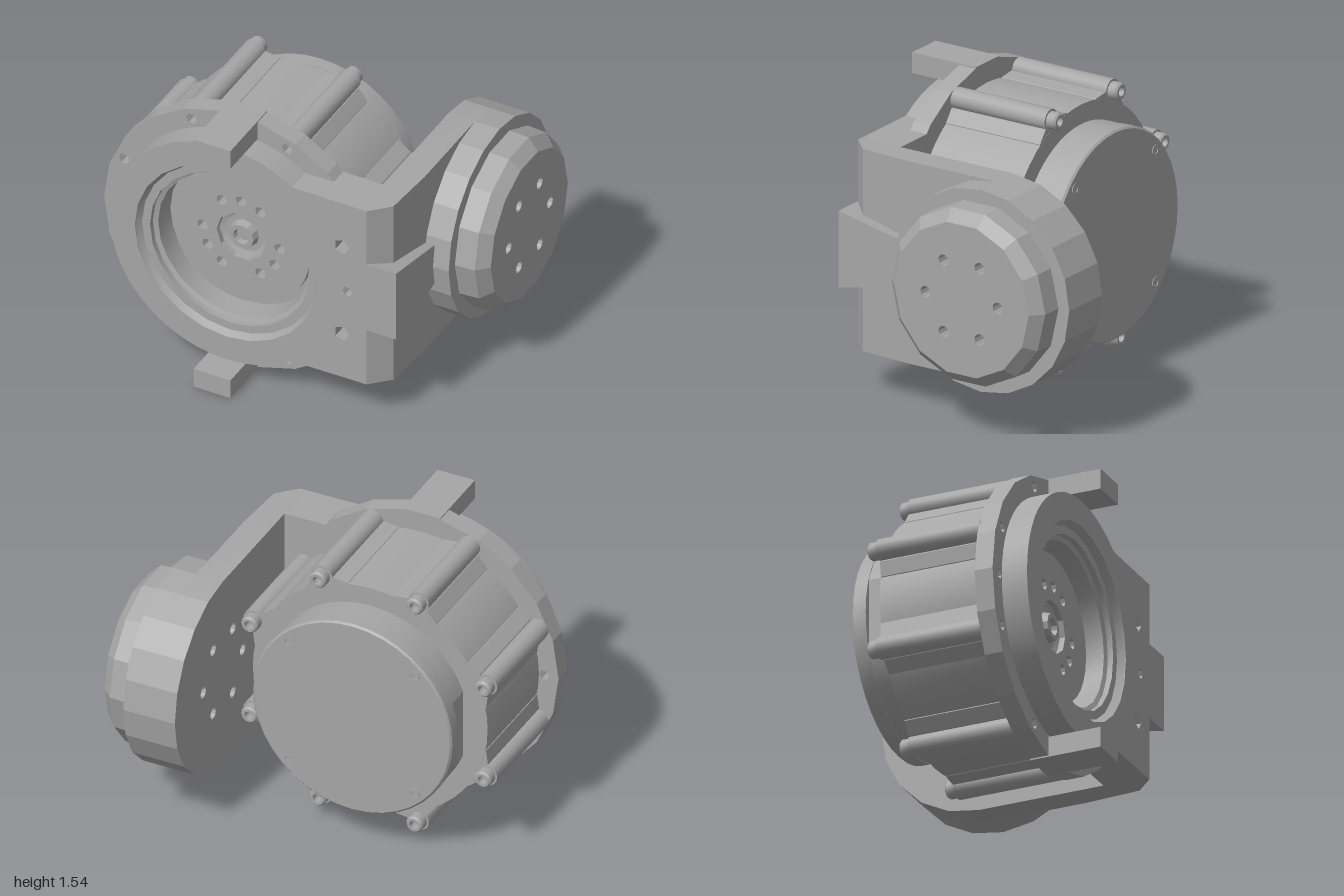
import * as THREE from 'three';
import { toCreasedNormals } from 'three/addons/utils/BufferGeometryUtils.js';

const CX = -0.23, CY = 0.77;      // main motor axis (along z)
const DU = 0.27;                  // side joint axis offset (u = -z)

export function createModel() {
  const model = new THREE.Group();
  const grey = new THREE.MeshStandardMaterial({ color: 0xa6a6a6 });
  grey.name = 'machine grey';

  const add = (name, geo, crease = 0.5, parent = model) => {
    const mesh = new THREE.Mesh(toCreasedNormals(geo, crease), grey);
    mesh.name = name;
    parent.add(mesh);
    return mesh;
  };
  const V = (a) => a.map(([x, y]) => new THREE.Vector2(x, y));
  // regular outline made of n straight sides
  const ring = (x, y, r, n, start = 0) => V(Array.from({ length: n }, (_, i) => {
    const t = start + i / n * Math.PI * 2;
    return [x + r * Math.cos(t), y + r * Math.sin(t)];
  }));
  const drill = (shape, x, y, r, n = 8) => {
    shape.holes.push(new THREE.Path(ring(x, y, r, n)));
    return shape;
  };
  const slab = (shape, z0, z1) => new THREE.ExtrudeGeometry(shape,
    { depth: z1 - z0, bevelEnabled: false, curveSegments: 20 }).translate(0, 0, z0);
  const sideSlab = (shape, x0, x1) => slab(shape, x0, x1).rotateY(Math.PI / 2);
  // turned part about the z direction, profile = [radius, z]
  const turned = (profile, n, x = CX, y = CY) =>
    new THREE.LatheGeometry(V(profile), n).rotateX(Math.PI / 2).translate(x, y, 0);

  // eight fastener positions around the main axis
  const bolts = Array.from({ length: 8 }, (_, i) => {
    const a = Math.PI / 8 + i * Math.PI / 4;
    return { a, x: CX + 0.71 * Math.cos(a), y: CY + 0.71 * Math.sin(a) };
  });

  // mounting flange
  const flange = drill(new THREE.Shape(ring(CX, CY, 0.77, 22)), CX, CY, 0.52, 24);
  bolts.forEach((b) => drill(flange, b.x, b.y, 0.03, 6));
  drill(flange, CX - 0.69, CY, 0.028, 6);
  drill(flange, CX + 0.69, CY, 0.028, 6);
  add('flange', slab(flange, 0.42, 0.52), 0.2);

  // collar merged with the arm that reaches to the side joint
  const arc = 0.965;
  const collar = new THREE.Shape();
  collar.moveTo(0.53, 0.23);
  collar.lineTo(0.53, 1.31);
  collar.absarc(CX, CY, 0.66, arc, Math.PI * 2 - arc, false);
  collar.closePath();
  drill(collar, CX, CY, 0.52, 24);
  drill(collar, 0.43, 1.04, 0.045, 5);
  drill(collar, 0.43, 0.50, 0.045, 5);
  drill(collar, CX + 0.69, CY, 0.028, 6);
  add('collarArm', slab(collar, 0.42, 0.66), 0.3);

  // stepped bore inside the collar
  add('bore', turned([[0.522, 0.66], [0.50, 0.62], [0.455, 0.62], [0.455, 0.59],
    [0.43, 0.58], [0.43, 0.45], [0.37, 0.45]], 24), 0.3);

  // output disc with its ring of holes, and the hub
  const output = drill(new THREE.Shape(ring(CX, CY, 0.39, 32)), CX, CY, 0.14, 10);
  for (const d of [0, 60, 90, 120, 180, 210, 240, 300, 330]) {
    const a = d * Math.PI / 180;
    drill(output, CX + 0.22 * Math.cos(a), CY + 0.22 * Math.sin(a), 0.03);
  }
  add('outputDisc', slab(output, 0.42, 0.50));
  add('hub', turned([[0.14, 0.47], [0.11, 0.46], [0.08, 0.46], [0.07, 0.50],
    [0.045, 0.50], [0.04, 0.47], [0, 0.47]], 12), 0.3);

  // locating tabs at the top and bottom
  for (const s of [1, -1]) {
    const tab = new THREE.Group();
    tab.name = s > 0 ? 'upperTab' : 'lowerTab';
    add('tabFinger', new THREE.BoxGeometry(0.21, 0.11, 0.39)
      .translate(CX, CY + s * 0.715, 0.615), 0.5, tab);
    add('tabRoot', new THREE.BoxGeometry(0.21, 0.22, 0.1)
      .translate(CX, CY + s * 0.655, 0.473), 0.5, tab);
    model.add(tab);
  }

  // motor housing
  add('housing', turned([[0, -0.155], [0.66, -0.155], [0.66, 0.42], [0, 0.42]], 48));

  // screw bosses and socket screws
  bolts.forEach((b) => {
    const boss = new THREE.Group();
    boss.name = 'screwBoss';
    const rod = new THREE.CylinderGeometry(0.058, 0.058, 0.575, 14)
      .rotateX(Math.PI / 2).translate(b.x, b.y, 0.1325);
    add('bossRod', rod, 0.6, boss);
    const web = new THREE.Shape(V([[0.55, -0.15], [0.65, -0.13], [0.69, -0.06],
      [0.69, 0.06], [0.65, 0.13], [0.55, 0.15]]));
    add('bossWeb', slab(web, -0.154, 0.42).rotateZ(b.a).translate(CX, CY, 0), 0.5, boss);
    add('screwHead', turned([[0, -0.17], [0.02, -0.17], [0.024, -0.21], [0.038, -0.21],
      [0.047, -0.2], [0.047, -0.15]], 12, b.x, b.y), 0.6, boss);
    model.add(boss);
  });

  // rear cover: base with two flats below a full round lid
  const flat = 0.35;
  const base = new THREE.Shape();
  base.absarc(CX, CY, 0.555, flat, Math.PI - flat, false);
  base.absarc(CX, CY, 0.555, Math.PI + flat, Math.PI * 2 - flat, false);
  base.closePath();
  add('coverBase', slab(base, -0.28, -0.15), 0.3);
  add('coverLid', turned([[0, -0.36], [0.55, -0.36], [0.56, -0.35], [0.56, -0.28],
    [0, -0.28]], 40), 0.4);
  for (let i = 0; i < 4; i++) {
    const a = Math.PI / 4 + i * Math.PI / 2;
    add('coverScrew', turned([[0, -0.357], [0.018, -0.357], [0.02, -0.364], [0.03, -0.364],
      [0.03, -0.35]], 10, CX + 0.5 * Math.cos(a), CY + 0.5 * Math.sin(a)));
  }

  // elbow with a chamfered outer corner
  const elbow = new THREE.Shape(V([[0.53, -0.66], [0.57, -0.66], [0.67, -0.56], [0.69, -0.26],
    [0.54, -0.26], [0.54, -0.42], [0.53, -0.42]].reverse()));
  add('elbow', slab(elbow, 0.23, 1.31).rotateX(-Math.PI / 2), 0.3);

  // raised rib on the elbow, narrowing toward the side joint
  const rib = new THREE.BoxGeometry(0.2, 0.41, 0.41);
  const p = rib.attributes.position;
  for (let i = 0; i < p.count; i++) if (p.getZ(i) < 0) p.setY(i, p.getY(i) * 0.58);
  add('elbowRib', rib.translate(0.64, 0.775, 0.457));

  // side joint: wall, round pad and domed cap, pierced by six holes
  const pierce = (shape) => {
    for (let i = 0; i < 6; i++) {
      const a = i * Math.PI / 3;
      drill(shape, DU + 0.22 * Math.cos(a), CY + 0.22 * Math.sin(a), 0.031, 10);
    }
    return shape;
  };
  const wall = new THREE.Shape(V([[-0.27, 0.23], [DU, 0.23]]));
  for (let i = 1; i <= 10; i++) {
    const a = -Math.PI / 2 + i * Math.PI / 10;
    wall.lineTo(DU + 0.54 * Math.cos(a), CY + 0.54 * Math.sin(a));
  }
  wall.lineTo(-0.27, 1.31);
  wall.closePath();
  add('jointWall', sideSlab(pierce(wall), 0.54, 0.69), 0.2);
  add('jointPad', sideSlab(pierce(new THREE.Shape(ring(DU, CY, 0.54, 20))), 0.69, 0.83), 0.2);
  add('jointCap', sideSlab(pierce(new THREE.Shape(ring(DU, CY, 0.41, 14))), 0.83, 1.0), 0.2);
  add('jointCapRim', new THREE.LatheGeometry(V([[0.475, 0.83], [0.47, 0.94], [0.41, 1.0]]), 14)
    .rotateZ(-Math.PI / 2).translate(0, CY, -DU), 0.2);

  return model;
}
